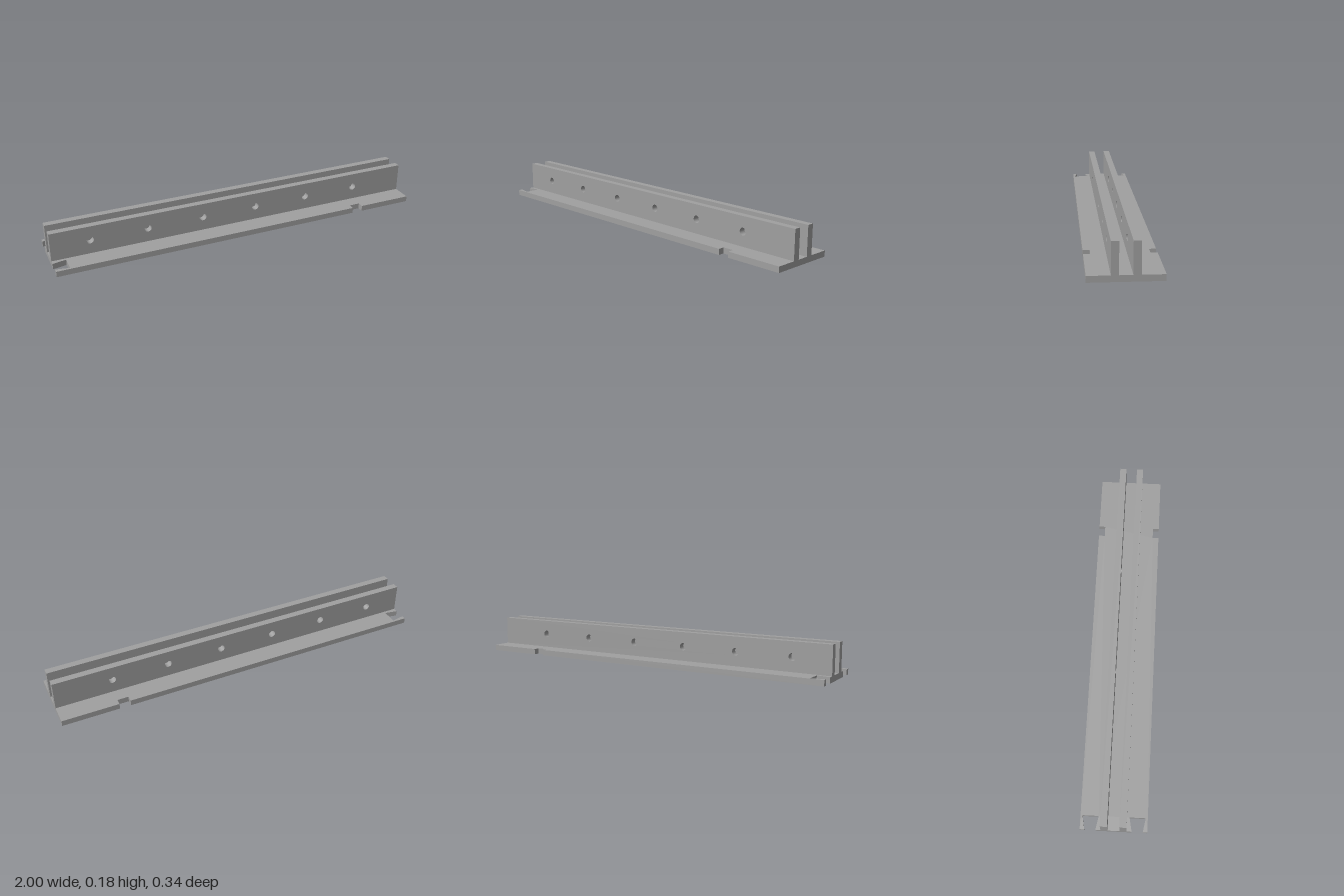
import * as THREE from 'three';

const BASE_H = 0.03, HALF_W = 0.17, TOP = 0.18;

function extrude(shape, depth) {
  return new THREE.ExtrudeGeometry(shape, { depth, bevelEnabled: false, curveSegments: 32 });
}

// Base plate outline: dovetail slots at the left end, square notches in both long edges
function baseShape() {
  const half = [
    [1, 0], [1, HALF_W], [0.705, HALF_W], [0.705, 0.137], [0.647, 0.137], [0.647, HALF_W],
    [-1, HALF_W], [-1, 0.147], [-0.93, 0.16], [-0.93, 0.078], [-1, 0.091],
  ];
  const mirrored = half.slice(1).reverse().map(([x, y]) => [x, -y]);
  return new THREE.Shape([...half.slice(1), ...mirrored].map(([x, y]) => new THREE.Vector2(x, y)));
}

// Upright wall with a row of round bolt holes
function wallShape() {
  const s = new THREE.Shape();
  s.moveTo(-1, BASE_H);
  s.lineTo(1, BASE_H);
  s.lineTo(1, TOP);
  s.lineTo(-1, TOP);
  s.closePath();
  for (let i = 0; i < 6; i++) {
    const hole = new THREE.Path();
    hole.absarc(-0.8 + i * 0.3, 0.104, 0.019, 0, Math.PI * 2, true);
    s.holes.push(hole);
  }
  return s;
}

export function createModel() {
  const model = new THREE.Group();
  model.name = 'slottedRail';
  const grey = new THREE.MeshStandardMaterial({ color: 0xa0a0a0 });
  grey.name = 'grey';

  const add = (name, geometry) => {
    const mesh = new THREE.Mesh(geometry, grey);
    mesh.name = name;
    model.add(mesh);
    return mesh;
  };

  add('basePlate', extrude(baseShape(), BASE_H).rotateX(-Math.PI / 2));

  // Twin walls with a channel between them
  const wall = extrude(wallShape(), 0.035);
  add('frontWall', wall).position.z = 0.03;
  add('backWall', wall).position.z = -0.065;

  return model;
}
